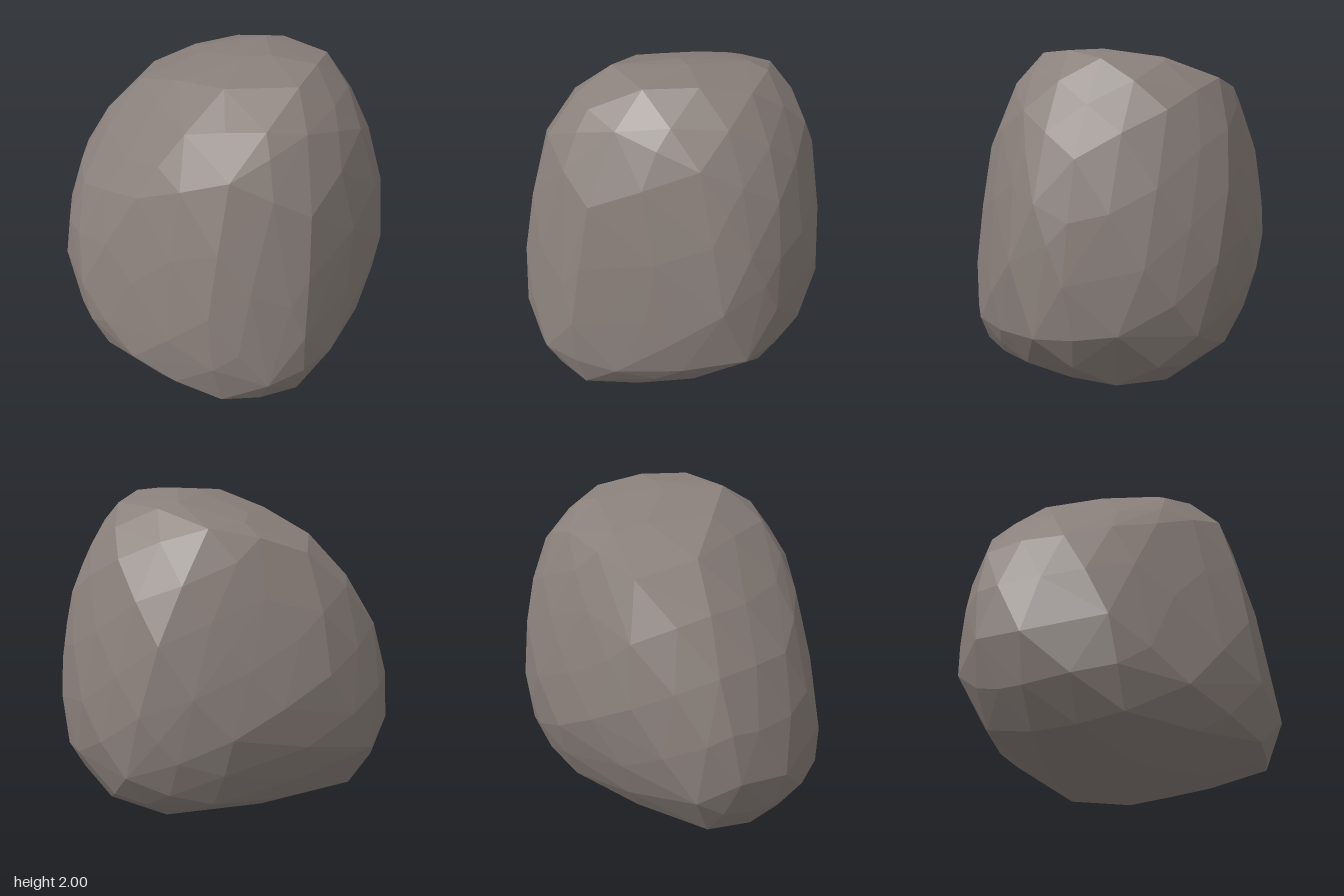
import * as THREE from 'three';
import { ConvexGeometry } from 'three/addons/geometries/ConvexGeometry.js';
import { mergeVertices } from 'three/addons/utils/BufferGeometryUtils.js';

// Main corners of the boulder, band by band from the ground up
const UNDERSIDE = [
  [-0.05, 0, 0.2], [0.55, 0.08, -0.13], [0.72, 0.14, 0.2], [0.4, 0.19, 0.67], [-0.22, 0.15, 0.88],
  [-0.64, 0.18, 0.66], [-0.89, 0.2, -0.16], [-0.62, 0.15, -0.57], [-0.4, 0.21, -0.77], [0.5, 0.27, -0.5],
];
const RIM = [
  [0.72, 0.44, 0.66], [0.01, 0.36, 0.93], [-0.47, 0.36, 0.88], [-0.92, 0.36, 0.17], [0.92, 0.49, 0.23],
  [0.9, 0.46, -0.21],
];
const BELLY = [
  [0.96, 0.85, 0.1], [0.84, 0.75, 0.51], [0.6, 0.84, 0.77], [-0.25, 0.65, 0.94], [-0.7, 0.86, 0.62],
  [-0.96, 0.68, -0.26], [-0.82, 0.6, -0.68], [-0.6, 0.63, -0.88], [-0.37, 0.51, -0.945], [0, 1.03, -0.91],
  [0.52, 0.72, -0.68], [0.69, 0.96, -0.55],
];
const FLANKS = [
  [0.8, 1.24, -0.4], [0.7, 1.17, 0.64], [0.78, 1.41, 0.43], [-0.15, 1.41, 0.83], [-0.74, 1.41, 0.08],
  [-0.75, 1.24, -0.46], [-0.46, 1.24, -0.85], [0.3, 1.47, -0.69],
];
const SHOULDER = [
  [0.79, 1.66, -0.06], [0.41, 1.65, 0.66], [-0.05, 1.8, 0.67], [-0.5, 1.65, 0.57], [-0.5, 1.78, 0.22],
  [-0.26, 1.75, -0.5], [0.02, 1.69, -0.73], [0.48, 1.83, -0.44],
];
const CROWN = [
  [0.55, 1.93, 0.25], [0.42, 1.945, -0.13], [0.04, 1.98, 0.51], [-0.25, 1.97, 0.25], [0.17, 2, 0.17],
];

const LONG_EDGE = 0.45;
const BULGE = 0.75;

// Middle of every long edge, raised to follow the curve between its two ends
function bulgePoints(hull) {
  hull.deleteAttribute('normal');
  const geometry = mergeVertices(hull);
  geometry.computeVertexNormals();
  const { position, normal } = geometry.attributes;
  const index = geometry.index.array;
  const vec = (attribute, i) => new THREE.Vector3().fromBufferAttribute(attribute, i);
  const points = [];

  for (let k = 0; k < index.length; k++) {
    const i = index[k];
    const j = index[k % 3 === 2 ? k - 2 : k + 1];
    const a = vec(position, i), b = vec(position, j);
    // Each edge is met from both sides, so take it once
    if (i > j || a.distanceTo(b) < LONG_EDGE) continue;
    const na = vec(normal, i), nb = vec(normal, j);
    const edge = b.clone().sub(a);
    const middle = a.clone().lerp(b, 0.5)
      .addScaledVector(na, -edge.dot(na) * BULGE / 8)
      .addScaledVector(nb, edge.dot(nb) * BULGE / 8);
    middle.y = THREE.MathUtils.clamp(middle.y, 0, 2);
    points.push(middle);
  }
  return points;
}

// Flat chipped facets stretched over the corners and the bulges between them
function boulderGeometry() {
  const corners = [UNDERSIDE, RIM, BELLY, FLANKS, SHOULDER, CROWN]
    .flatMap((band) => band.map((corner) => new THREE.Vector3(...corner)));
  return new ConvexGeometry([...corners, ...bulgePoints(new ConvexGeometry(corners))]);
}

export function createModel() {
  const group = new THREE.Group();
  group.name = 'rock';
  const material = new THREE.MeshStandardMaterial({ color: 0x8a807b });
  material.flatShading = true;
  const boulder = new THREE.Mesh(boulderGeometry(), material);
  boulder.name = 'boulder';
  group.add(boulder);
  return group;
}
